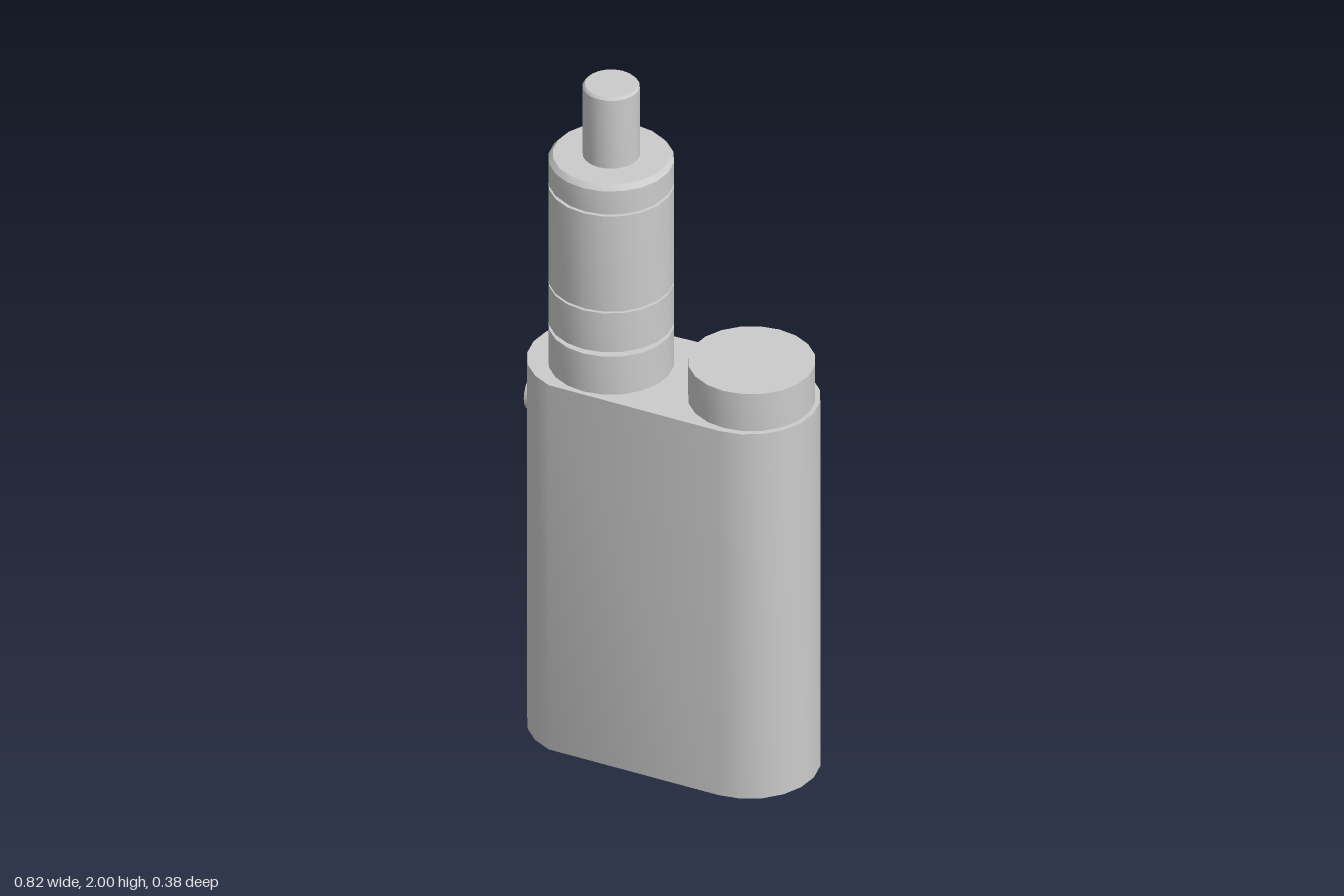
import * as THREE from 'three';
import { toCreasedNormals } from 'three/addons/utils/BufferGeometryUtils.js';

const SIDES = 20;
const BODY_TOP = 1.135;
const CREASE = Math.PI / 6;

export function createModel() {
  const group = new THREE.Group();
  const material = new THREE.MeshStandardMaterial({ color: 0xcccccc });

  const add = (name, geometry, x = 0, y = 0, z = 0) => {
    const mesh = new THREE.Mesh(toCreasedNormals(geometry, CREASE), material);
    mesh.name = name;
    mesh.position.set(x, y, z);
    group.add(mesh);
    return mesh;
  };
  const lathe = (profile) =>
    new THREE.LatheGeometry(profile.map(([r, y]) => new THREE.Vector2(r, y)), SIDES);

  // Body: rounded-end outline, extruded upwards
  const outline = [];
  const arc = (cx, first, last) => {
    for (let i = first; i <= last; i++) {
      const a = (i * 2 * Math.PI) / SIDES;
      outline.push(new THREE.Vector2(cx + 0.188 * Math.cos(a), 0.188 * Math.sin(a)));
    }
  };
  arc(0.222, -5, 5);
  arc(-0.222, 6, 14);
  const body = new THREE.ExtrudeGeometry(new THREE.Shape(outline), {
    depth: BODY_TOP,
    bevelEnabled: false,
  });
  body.rotateX(-Math.PI / 2);
  add('body', body);

  // Battery cap beside the tank
  add('batteryCap', lathe([[0, BODY_TOP], [0.169, BODY_TOP], [0.169, 1.25], [0, 1.25]]), 0.228);

  // Tank: stacked sections separated by narrow grooves, with a chamfered top
  const R = 0.167;
  add('tank', lathe([
    [0, BODY_TOP], [R, BODY_TOP],
    [R, 1.253], [0.132, 1.253], [0.132, 1.267], [R, 1.267],
    [R, 1.388], [0.158, 1.388], [0.158, 1.395], [R, 1.395],
    [R, 1.69], [0.157, 1.69], [0.157, 1.7], [R, 1.7],
    [R, 1.768], [0.155, 1.782], [0, 1.782],
  ]), -0.183);

  // Mouthpiece
  add('mouthpiece', lathe([[0, 1.78], [0.076, 1.78], [0.076, 1.993], [0.07, 2], [0, 2]]), -0.183);

  // Round button on the narrow side
  const button = new THREE.CylinderGeometry(0.054, 0.054, 0.03, SIDES);
  button.rotateZ(Math.PI / 2);
  add('button', button, -0.398, 0.985, 0);

  return group;
}
